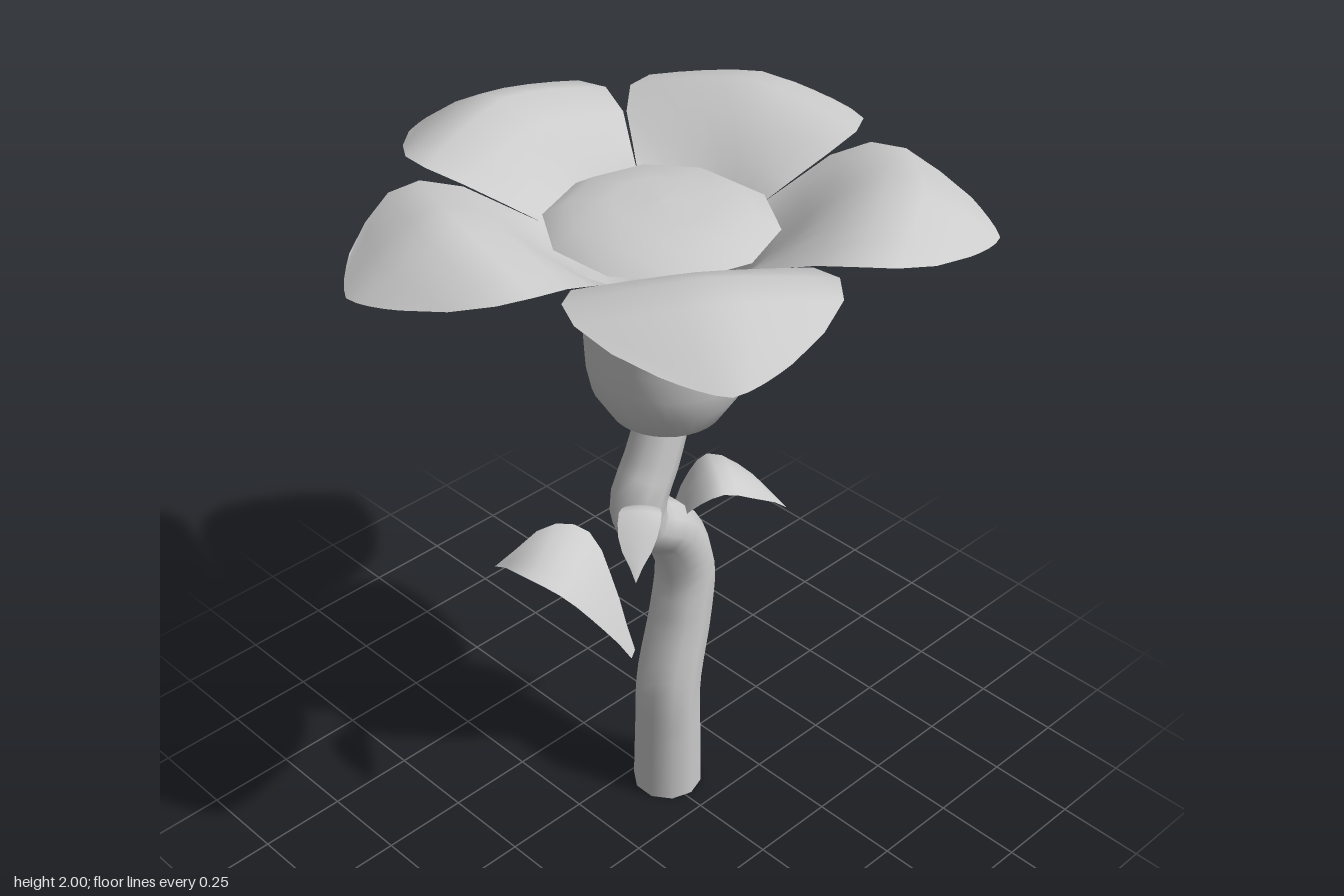
import * as THREE from 'three';
import { mergeGeometries, mergeVertices } from 'three/addons/utils/BufferGeometryUtils.js';

const material = new THREE.MeshStandardMaterial({ color: 0xcccccc, side: THREE.DoubleSide });
const V = (x, y, z) => new THREE.Vector3(x, y, z);

// Surface through rows of points; columns run left to right, rows run upward/outward
function sheet(rows) {
  const cols = rows[0].length, index = [];
  for (let i = 0; i < rows.length - 1; i++) {
    for (let j = 0; j < cols - 1; j++) {
      const a = i * cols + j, c = a + cols;
      index.push(a, a + 1, c, a + 1, c + 1, c);
    }
  }
  const geometry = new THREE.BufferGeometry().setFromPoints(rows.flat());
  geometry.setIndex(index);
  return geometry;
}

function smooth(geometry) {
  const merged = mergeVertices(geometry, 1e-4);
  merged.computeVertexNormals();
  return merged;
}

function part(name, geometry) {
  const mesh = new THREE.Mesh(geometry, material);
  mesh.name = name;
  return mesh;
}

// Curved open stem, thinner toward the flower
function makeStem() {
  const path = new THREE.CatmullRomCurve3([
    V(0.02, 0, 0.092), V(0.02, 0.2, 0.092), V(0.022, 0.38, 0.092), V(0.075, 0.6, 0.084),
    V(0.092, 0.76, 0.08), V(0.025, 0.91, 0.085), V(-0.09, 1.0, 0.095), V(-0.105, 1.08, 0.1),
    V(-0.055, 1.18, 0.097), V(0.005, 1.32, 0.09),
  ]);
  const rings = 28, sides = 10;
  const geometry = new THREE.TubeGeometry(path, rings, 1, sides);
  const pos = geometry.attributes.position, p = V(0, 0, 0);
  for (let i = 0; i <= rings; i++) {
    const centre = path.getPointAt(i / rings);
    const radius = THREE.MathUtils.lerp(0.1, 0.071, i / rings);
    for (let j = 0; j <= sides; j++) {
      const k = i * (sides + 1) + j;
      p.fromBufferAttribute(pos, k).sub(centre).multiplyScalar(radius).add(centre);
      pos.setXYZ(k, p.x, p.y, p.z);
    }
  }
  return part('stem', geometry);
}

// Leaf along a midrib, with half-widths across it; lift raises or droops the edges
function makeLeaf(name, midrib, widths, lift) {
  const curve = new THREE.CatmullRomCurve3(midrib);
  const widthCurve = new THREE.SplineCurve(widths.map((w, i) => new THREE.Vector2(i, w)));
  const along = midrib[midrib.length - 1].clone().sub(midrib[0]).setY(0).normalize();
  const rows = [];
  for (let i = 0; i <= 10; i++) {
    const centre = curve.getPoint(i / 10);
    const w = Math.max(0, widthCurve.getPoint(i / 10).y);
    rows.push([-1, -0.5, 0, 0.5, 1].map((t) =>
      V(centre.x - along.z * w * t, centre.y + lift * w * t * t, centre.z + along.x * w * t)));
  }
  const geometry = sheet(rows);
  geometry.computeVertexNormals();
  return part(name, geometry);
}

// Rounded cup with four sepal lobes
function makeCalyx() {
  const profile = [[0.02, 1.258], [0.085, 1.268], [0.15, 1.31], [0.197, 1.385],
    [0.211, 1.45], [0.215, 1.52], [0.213, 1.57]];
  const ring = (fn) => Array.from({ length: 33 }, (_, j) => {
    const a = (j / 32) * Math.PI * 2;
    const [r, y] = fn(a);
    return V(r * Math.sin(a), y, r * Math.cos(a));
  });
  const rows = profile.map((p) => ring(() => p));
  for (const f of [0.5, 1]) {
    rows.push(ring((a) => {
      const h = 0.11 * Math.pow(Math.abs(Math.cos(2 * a)), 0.65) * f;
      return [0.213 + 0.04 * h, 1.57 + h];
    }));
  }
  const mesh = part('calyx', smooth(sheet(rows)));
  mesh.position.set(0.017, 0, 0.079);
  return mesh;
}

// Trumpet opening into five arched petals
function makeCorolla() {
  const half = Math.PI / 5;
  // Each row: distance and height at the midline, then distance, half-width and height at the edge
  const tube = [[0.1, 1.45], [0.16, 1.57], [0.19, 1.68], [0.232, 1.76], [0.295, 1.82]]
    .map(([r, y]) => [r, y, r * Math.cos(half), r * Math.sin(half), y]);
  const blade = [
    [0.36, 1.88, 0.31, 0.222, 1.86],
    [0.44, 1.95, 0.40, 0.285, 1.91],
    [0.55, 1.998, 0.50, 0.322, 1.935],
    [0.64, 1.98, 0.59, 0.308, 1.93],
    [0.74, 1.925, 0.68, 0.24, 1.905],
    [0.832, 1.86, 0.76, 0.15, 1.885],
  ];
  const petals = [];
  for (let k = 0; k < 5; k++) {
    const a = THREE.MathUtils.degToRad(-2.4 + 72 * k);
    const s = Math.sin(a), c = Math.cos(a);
    const rows = [...tube, ...blade].map(([rm, ym, re, w, ye], i) => {
      const row = [];
      for (let j = -4; j <= 4; j++) {
        const t = j / 4, u = Math.abs(t) ** (i < tube.length ? 2 : 1.4);
        const r = THREE.MathUtils.lerp(rm, re, u), y = THREE.MathUtils.lerp(ym, ye, u);
        row.push(V(r * s + w * t * c, y, -r * c + w * t * s));
      }
      return row;
    });
    petals.push(sheet(rows));
  }
  const mesh = part('petals', smooth(mergeGeometries(petals)));
  mesh.position.set(0.012, 0, 0.056);
  return mesh;
}

// Shallow ten-sided dome in the middle of the flower
function makeCentre() {
  const profile = [[0.298, 1.845], [0.235, 1.885], [0.13, 1.902], [0, 1.907]]
    .map(([r, y]) => new THREE.Vector2(r, y));
  const mesh = part('flowerCentre', new THREE.LatheGeometry(profile, 10));
  mesh.rotation.y = THREE.MathUtils.degToRad(2.4);
  mesh.position.set(0.012, 0, 0.06);
  return mesh;
}

export function createModel() {
  const flower = new THREE.Group();
  flower.name = 'flower';
  flower.add(
    makeStem(), makeCalyx(), makeCorolla(), makeCentre(),
    makeLeaf('upperLeaf', [V(-0.13, 1.06, 0.13), V(-0.165, 1.13, 0.175), V(-0.21, 1.155, 0.215),
      V(-0.26, 1.1, 0.255), V(-0.308, 1.02, 0.3)], [0.01, 0.035, 0.055, 0.045, 0], -0.15),
    makeLeaf('middleLeaf', [V(0.035, 0.9, 0.07), V(0.09, 1.02, 0.1), V(0.15, 1.077, 0.135),
      V(0.235, 1.025, 0.19), V(0.315, 0.917, 0.25)], [0.02, 0.07, 0.1, 0.075, 0], -0.25),
    makeLeaf('lowerLeaf', [V(-0.03, 0.44, 0.0), V(-0.075, 0.6, -0.06), V(-0.12, 0.725, -0.14),
      V(-0.18, 0.75, -0.24), V(-0.24, 0.68, -0.345)], [0.02, 0.09, 0.15, 0.12, 0], 0.1),
  );
  return flower;
}
